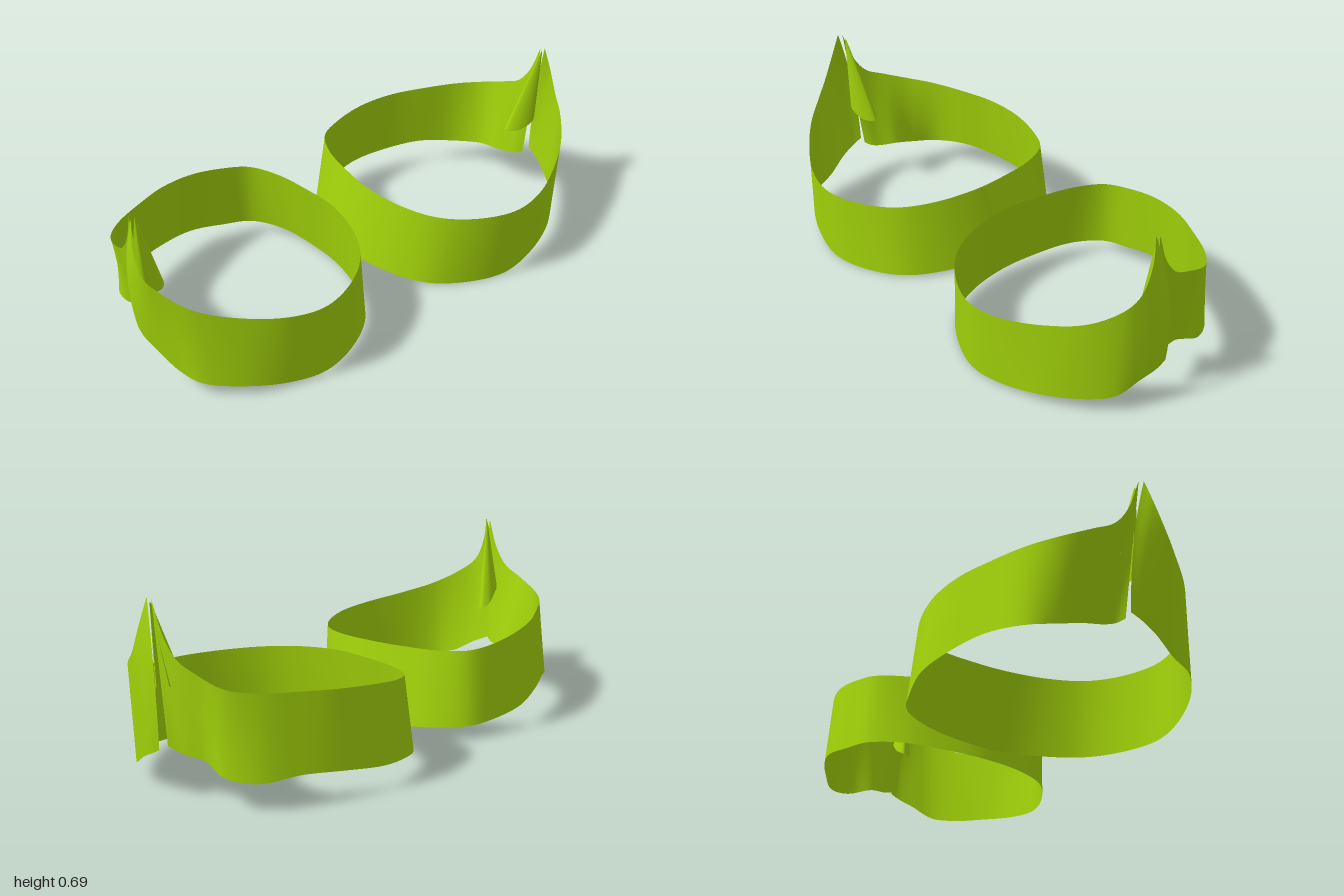
import * as THREE from 'three';
import { ParametricGeometry } from 'three/addons/geometries/ParametricGeometry.js';

// Band edges [x, y, z], from the front end round the inner side to the back end
const LOWER = [
  [.985, .18, .022], [.985, .16, .06], [.97, .13, .12], [.94, .08, .2], [.87, .06, .28],
  [.75, .045, .37], [.6, .02, .425], [.45, .004, .442], [.3, .004, .4], [.16, .01, .31],
  [.08, .015, .17], [.042, .02, 0], [.05, .03, -.15], [.09, .045, -.31], [.17, .055, -.42],
  [.28, .065, -.458], [.42, .085, -.478], [.57, .105, -.445], [.72, .118, -.385],
  [.85, .105, -.31], [.91, .12, -.21], [.9, .15, -.11], [.915, .155, -.04],
  [.925, .165, 0], [.94, .18, .03],
];
const UPPER = [
  [.957, .695, .085], [.977, .6, .108], [.977, .5, .15], [.957, .45, .2], [.88, .39, .29],
  [.75, .35, .38], [.6, .325, .45], [.46, .312, .467], [.31, .31, .415], [.19, .315, .32],
  [.12, .325, .19], [.088, .335, .02], [.1, .337, -.13], [.13, .34, -.28], [.19, .345, -.39],
  [.28, .355, -.43], [.42, .375, -.445], [.57, .39, -.42], [.7, .4, -.365], [.83, .41, -.295],
  [.905, .425, -.22], [.935, .465, -.11], [.945, .5, -.035], [.95, .57, .02], [.955, .69, .065],
];
// Open foot of the folded flap
const FLAP = [
  [.97, .4, .04], [.94, .36, .075], [.87, .32, .052], [.84, .32, .015],
  [.87, .34, -.005], [.945, .4, .005],
];
const PEAK = new THREE.Vector3(.955, .69, .075);

// The right cuff sits a little further forward and flares more at its outer side
const lowerRight = ([x, y, z]) => [x + (x > .88 ? -.022 : .01), y, z + (z > 0 ? .022 * Math.min(1, z / .4) : .006)];
const upperRight = ([x, y, z]) => [x + (x > .92 && y > .46 ? .02 : .008), y, z + .01];

const curve = (points, side) => new THREE.CatmullRomCurve3(
  points.map(([x, y, z]) => new THREE.Vector3(side * x, y, z)), false, 'centripetal');

// Smooth sheet spanned between two edge curves; its first end can bow outward and back
function sheet(a, b, along, across, bowX, bowZ) {
  const p = new THREE.Vector3(), q = new THREE.Vector3();
  return new ParametricGeometry((u, v, target) => {
    a.getPoint(u, p);
    b.getPoint(u, q);
    target.lerpVectors(p, q, v);
    const bow = Math.max(0, 1 - 8 * u) * 4 * v * (1 - v);
    target.x += bowX * bow;
    target.z += bowZ * bow;
  }, along, across);
}

export function createModel() {
  const model = new THREE.Group();
  const material = new THREE.MeshStandardMaterial({ color: 0xa3d40a, side: THREE.DoubleSide });

  for (const side of [1, -1]) {
    const cuff = new THREE.Group();
    cuff.name = side > 0 ? 'leftCuff' : 'rightCuff';

    // Strap whose front end laps over the back end
    const lower = curve(side > 0 ? LOWER : LOWER.map(lowerRight), side);
    const upper = curve(side > 0 ? UPPER : UPPER.map(upperRight), side);
    const band = new THREE.Mesh(sheet(lower, upper, 160, 12, side * .016, -.025), material);
    band.name = 'band';

    // Folded flap that narrows to the peak where the ends meet
    const foot = curve(FLAP, side);
    const tip = curve(FLAP.map((f) => new THREE.Vector3(...f).lerp(PEAK, .96).toArray()), side);
    const flap = new THREE.Mesh(sheet(foot, tip, 24, 8, 0, 0), material);
    flap.name = 'foldedFlap';

    cuff.add(band, flap);
    model.add(cuff);
  }
  return model;
}
